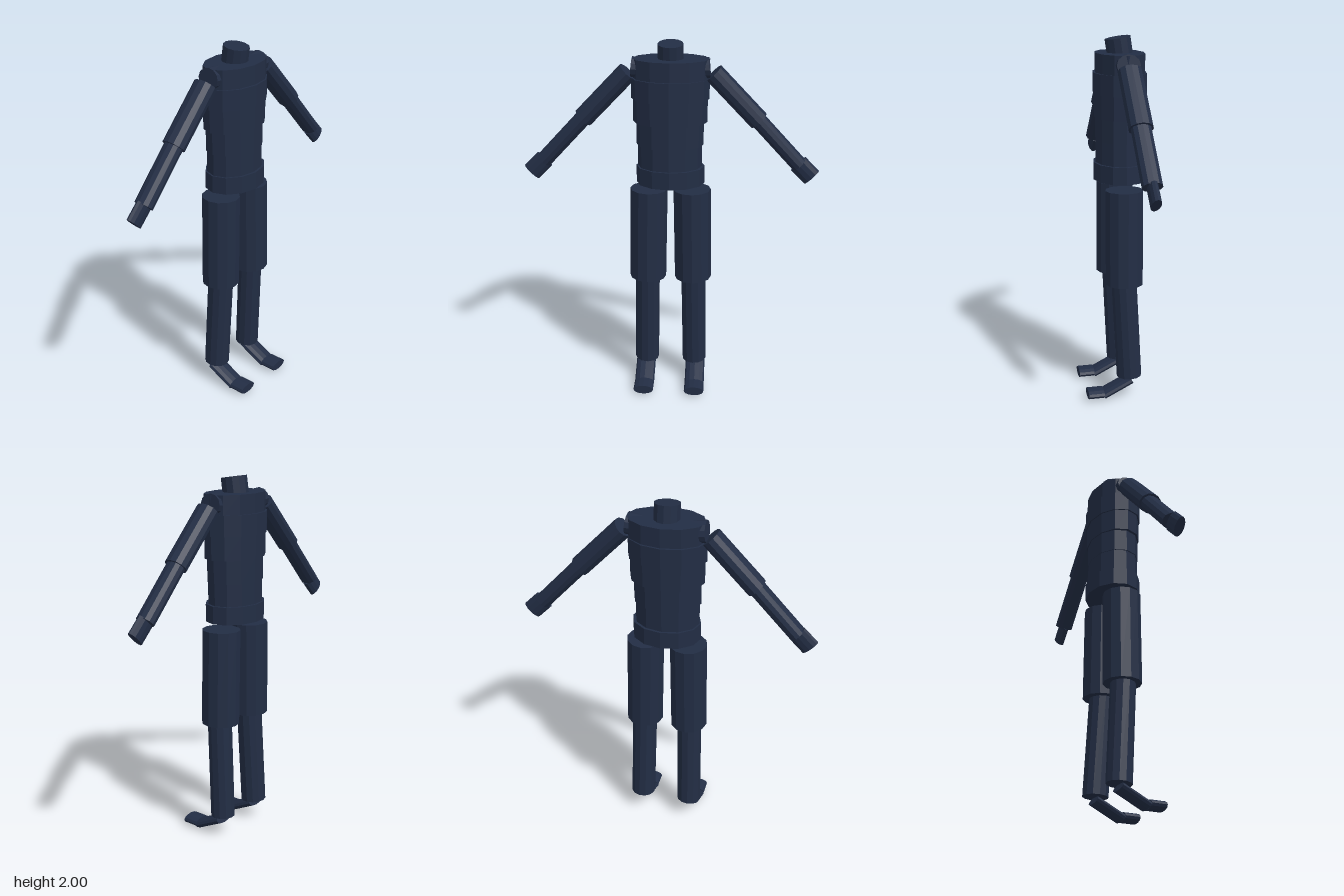
import * as THREE from 'three';

const navy = new THREE.MeshStandardMaterial({ color: 0x222d44, flatShading: true });
navy.name = 'navy';

// Twelve-sided elliptical cylinder running between two points
function segment(name, from, to, rx, rz) {
  const a = new THREE.Vector3(...from), b = new THREE.Vector3(...to);
  const dir = b.clone().sub(a);
  const geo = new THREE.CylinderGeometry(1, 1, 1, 12);
  geo.scale(rx, dir.length(), rz);
  const mesh = new THREE.Mesh(geo, navy);
  mesh.name = name;
  mesh.position.copy(a).add(b).multiplyScalar(0.5);
  mesh.quaternion.setFromUnitVectors(new THREE.Vector3(0, 1, 0), dir.normalize());
  return mesh;
}

export function createModel() {
  const model = new THREE.Group();
  model.name = 'mannequin';

  // Torso bands: name, bottom, top, centre x, half width, half depth
  const torso = new THREE.Group();
  torso.name = 'torso';
  const bands = [
    ['pelvis', 1.235, 1.33, 0, 0.185, 0.143],
    ['waist', 1.33, 1.45, -0.003, 0.173, 0.13],
    ['abdomen', 1.45, 1.575, -0.003, 0.18, 0.131],
    ['ribs', 1.575, 1.70, -0.002, 0.198, 0.136],
    ['chest', 1.70, 1.81, -0.002, 0.207, 0.143],
    ['upperChest', 1.81, 1.912, 0.002, 0.203, 0.131],
  ];
  for (const [name, y0, y1, x, rx, rz] of bands) {
    torso.add(segment(name, [x, y0, -0.033], [x, y1, -0.033], rx, rz));
  }
  torso.add(segment('neck', [0, 1.90, -0.036], [0, 1.99, -0.022], 0.068, 0.07));
  model.add(torso);

  // Mirrored limbs
  for (const [side, s] of [['left', 1], ['right', -1]]) {
    const arm = new THREE.Group();
    arm.name = side + 'Arm';
    const z = -0.035;
    arm.add(
      segment('shoulder', [s * 0.04, 1.85, z], [s * 0.205, 1.865, z], 0.055, 0.063),
      segment('upperArm', [s * 0.225, 1.838, z], [s * 0.467, 1.586, z], 0.055, 0.064),
      segment('forearm', [s * 0.467, 1.586, z], [s * 0.69, 1.347, z], 0.044, 0.053),
      segment('hand', [s * 0.687, 1.351, z], [s * 0.762, 1.276, z], 0.053, 0.026),
    );

    const leg = new THREE.Group();
    leg.name = side + 'Leg';
    leg.add(
      segment('thigh', [s * 0.118, 1.195, -0.034], [s * 0.127, 0.67, -0.034], 0.102, 0.104),
      segment('shin', [s * 0.13, 0.67, -0.032], [s * 0.139, 0.125, -0.06], 0.068, 0.07),
      segment('foot', [s * 0.145, 0.107, -0.067], [s * 0.145, 0.028, 0.092], 0.056, 0.025),
      segment('toes', [s * 0.145, 0.036, 0.092], [s * 0.145, 0.036, 0.18], 0.056, 0.026),
    );
    model.add(arm, leg);
  }
  return model;
}
